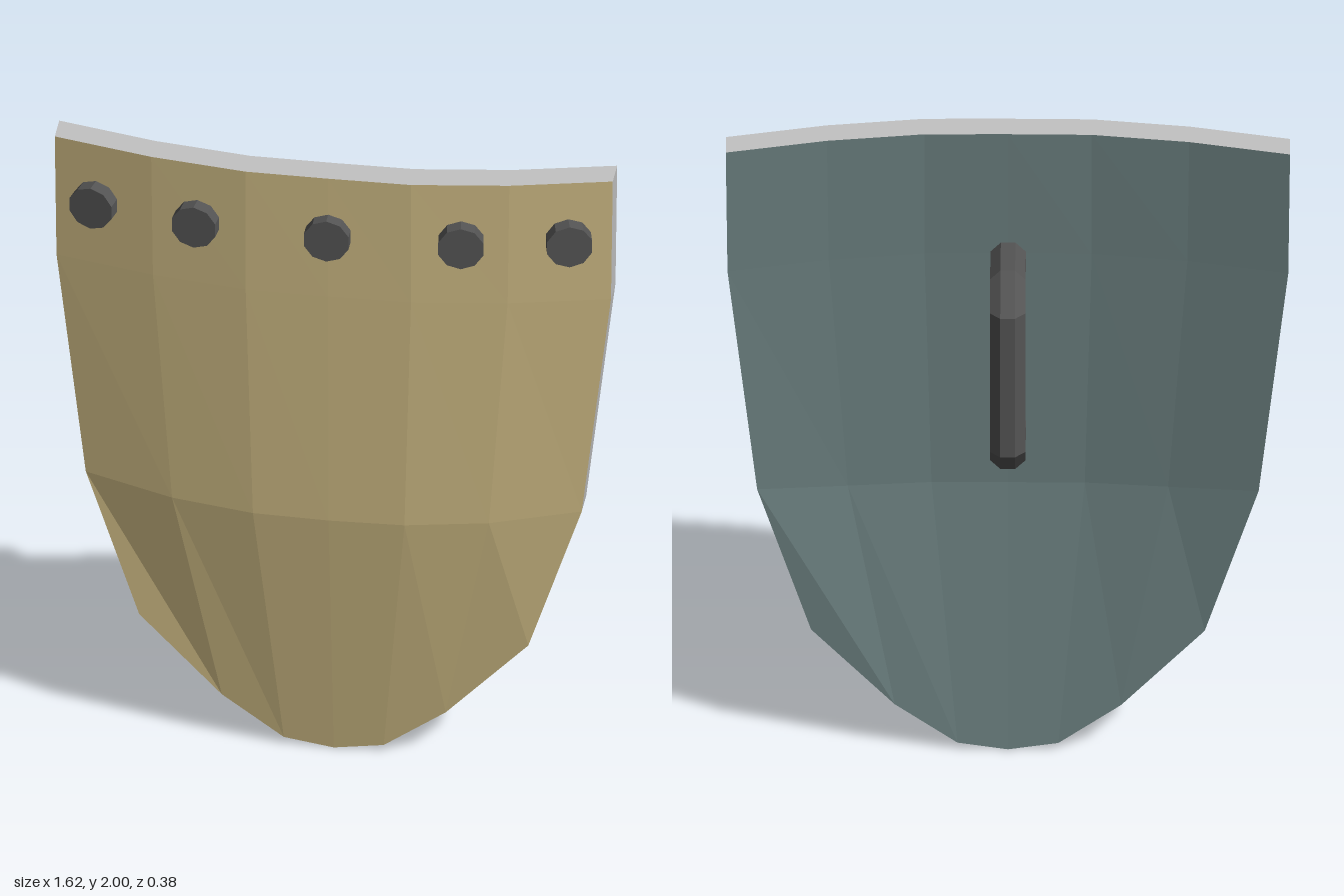
import * as THREE from 'three';

const mat = (name, color) => {
  const m = new THREE.MeshStandardMaterial({ color, flatShading: true });
  m.name = name;
  return m;
};

// Flat-shaded mesh from quads of Vector3 corners
function quadMesh(name, quads, material) {
  const pos = [];
  for (const [a, b, c, d] of quads) for (const p of [a, b, c, a, c, d]) pos.push(p.x, p.y, p.z);
  const g = new THREE.BufferGeometry();
  g.setAttribute('position', new THREE.Float32BufferAttribute(pos, 3));
  g.computeVertexNormals();
  const mesh = new THREE.Mesh(g, material);
  mesh.name = name;
  return mesh;
}

export function createModel() {
  const tan = mat('tanFace', 0xc9b681);
  const grey = mat('greyRim', 0xc2c2c2);
  const teal = mat('tealBack', 0x6a7e7e);
  const dark = mat('darkMetal', 0x545454);
  const group = new THREE.Group();
  group.name = 'shield';

  // Half rows from the centre outwards as [x, y, z], top to bottom
  const halfRows = [
    [[0, 2, 0.152], [0.24, 2, 0.15], [0.52, 2, 0.112], [0.81, 2, 0.045]],
    [[0, 1.6, 0.153], [0.24, 1.6, 0.15], [0.515, 1.6, 0.112], [0.805, 1.6, 0.045]],
    [[0, 0.835, 0.147], [0.22, 0.837, 0.143], [0.46, 0.845, 0.108], [0.72, 0.87, 0.045]],
    [[0, 0, 0.045], [0.145, 0.022, 0.045], [0.325, 0.15, 0.045], [0.565, 0.4, 0.045]],
  ];
  const front = halfRows.map((row) => [
    ...row.slice(1).reverse().map(([x, y, z]) => new THREE.Vector3(-x, y, z)),
    ...row.map((p) => new THREE.Vector3(...p)),
  ]);
  const pushBack = (p) => new THREE.Vector3(p.x, p.y, p.z - 0.086);

  // Curved front and back skins
  const frontQuads = [];
  for (let r = 0; r < 3; r++) {
    for (let i = 0; i < 6; i++) {
      frontQuads.push([front[r][i], front[r + 1][i], front[r + 1][i + 1], front[r][i + 1]]);
    }
  }
  const backQuads = frontQuads.map((q) => q.map(pushBack).reverse());
  group.add(quadMesh('frontFace', frontQuads, tan), quadMesh('backFace', backQuads, teal));

  // Rim joining both skins, counter-clockwise around the outline
  const loop = [
    ...front.slice(0, 3).map((row) => row[0]),
    ...front[3],
    ...front.slice(0, 3).reverse().map((row) => row[6]),
    ...front[0].slice(1, 6).reverse(),
  ];
  const rimQuads = loop.map((a, i) => {
    const b = loop[(i + 1) % loop.length];
    return [a, pushBack(a), pushBack(b), b];
  });
  group.add(quadMesh('rim', rimQuads, grey));

  // Row of bolts, each tilted with the curved face: [x, z of centre, tilt]
  const boltGeo = new THREE.CylinderGeometry(0.068, 0.068, 0.05, 10).rotateX(Math.PI / 2);
  for (const [x, z, tilt] of [[0, 0.165, 0], [0.385, 0.148, 0.12], [0.69, 0.092, 0.23]]) {
    for (const side of x ? [-1, 1] : [1]) {
      const bolt = new THREE.Mesh(boltGeo, dark);
      bolt.name = 'bolt';
      bolt.position.set(side * x, 1.81, z);
      bolt.rotation.y = side * tilt;
      group.add(bolt);
    }
  }

  // Handle: octagonal rings [y, z, ring axis y, ring axis z], chamfered corners
  const sides = 8, radius = 0.055;
  const rings = [
    [1.585, 0.08, -1, 0], [1.585, -0.088, -1, 0], [1.535, -0.139, 0, 1],
    [1.07, -0.139, 0, 1], [1.02, -0.088, 1, 0], [1.02, 0.08, 1, 0],
  ].map(([y, z, vy, vz]) => Array.from({ length: sides }, (_, i) => {
    const t = ((i + 0.5) / sides) * Math.PI * 2;
    const s = Math.sin(t) * radius;
    return new THREE.Vector3(Math.cos(t) * radius, y + vy * s, z + vz * s);
  }));
  const handleQuads = [];
  for (let r = 0; r < rings.length - 1; r++) {
    for (let i = 0; i < sides; i++) {
      const j = (i + 1) % sides;
      handleQuads.push([rings[r][i], rings[r][j], rings[r + 1][j], rings[r + 1][i]]);
    }
  }
  group.add(quadMesh('handle', handleQuads, dark));

  return group;
}
